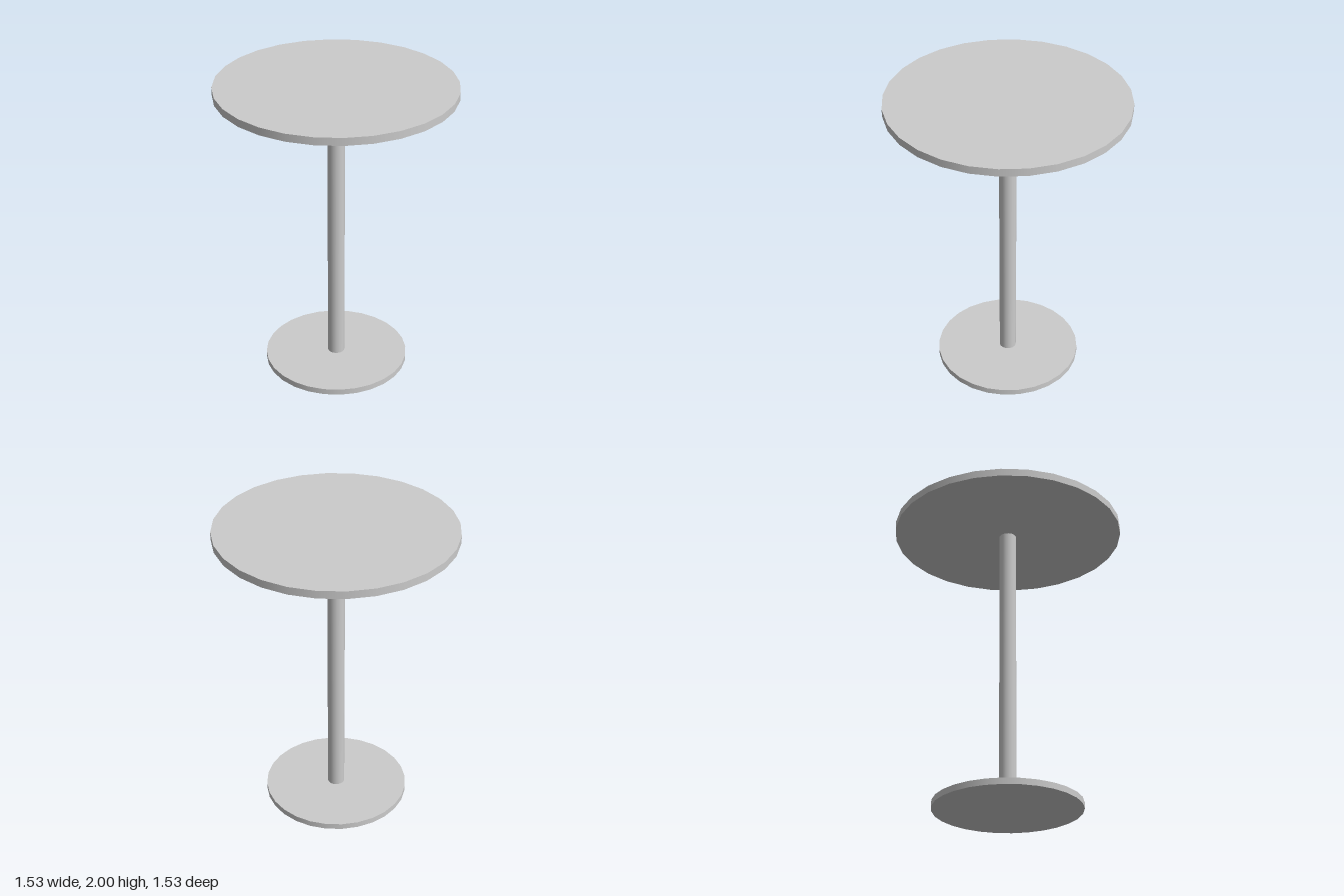
import * as THREE from 'three';

export function createModel() {
  const group = new THREE.Group();
  group.name = 'pedestalTable';
  const grey = new THREE.MeshStandardMaterial({ color: 0xcccccc });
  grey.name = 'light grey';

  // Upright disc or post spanning y0 to y1
  const addRound = (name, radius, y0, y1, sides) => {
    const mesh = new THREE.Mesh(new THREE.CylinderGeometry(radius, radius, y1 - y0, sides), grey);
    mesh.position.y = (y0 + y1) / 2;
    mesh.name = name;
    group.add(mesh);
  };

  addRound('base', 0.477, 0, 0.04, 28);
  addRound('column', 0.056, 0.04, 1.95, 16);
  addRound('tableTop', 0.765, 1.95, 2, 28);
  return group;
}
